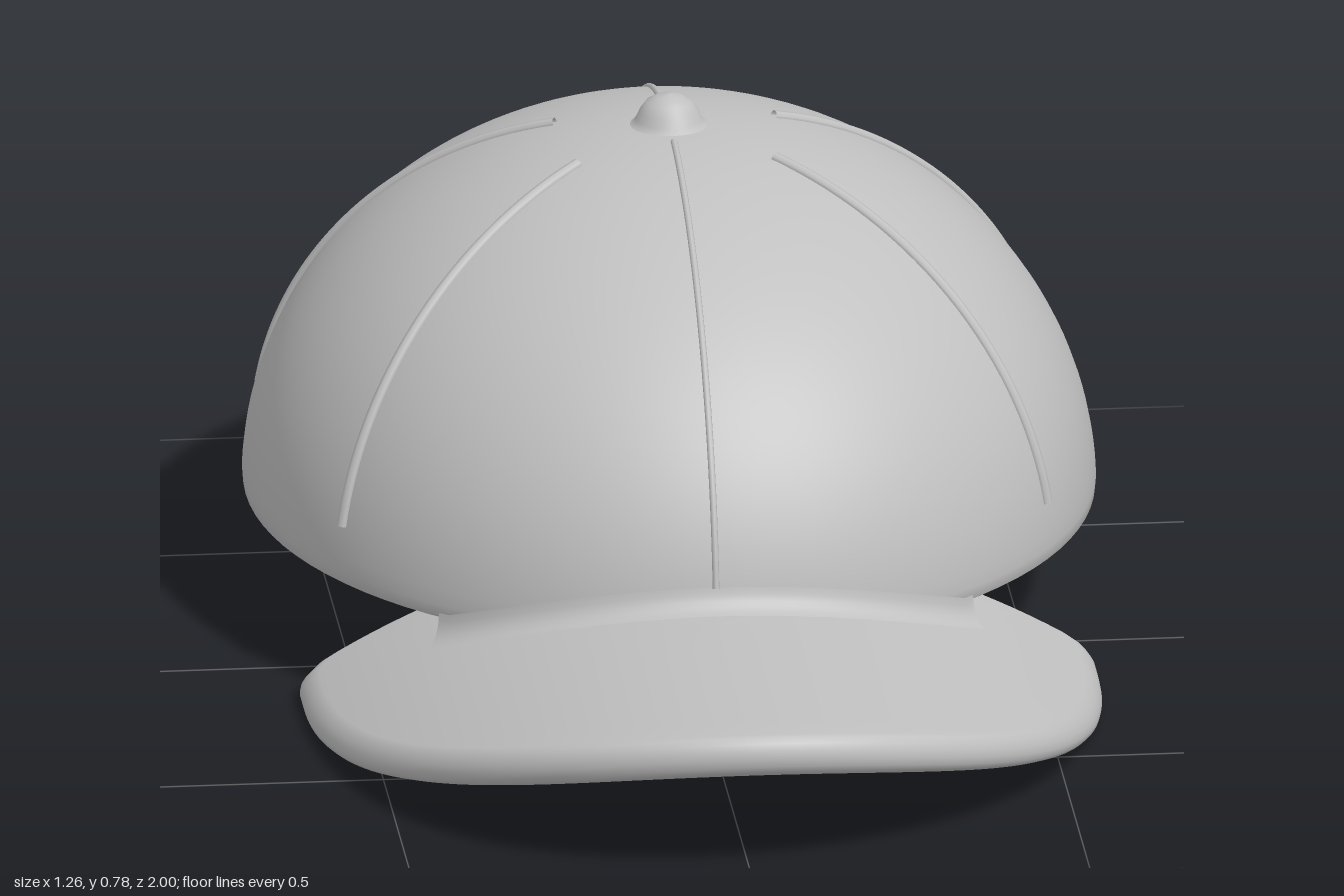
import * as THREE from 'three';

const RX = 0.63, RZ = 0.72, RY = 0.565, RIM = 0.18, CZ = -0.28;

// Point on the crown at angle a (0 = front) and height y
function crownPoint(a, y, grow = 0) {
  const h = Math.max(0, y - RIM) / RY;
  const q = Math.sqrt(Math.max(0, 1 - h * h));
  return new THREE.Vector3((RX * q + grow) * Math.sin(a), y, CZ + (RZ * q + grow) * Math.cos(a));
}

// Arched upper and lower faces of the brim
const brimTop = x => 0.235 - 0.19 * (x / 0.59) ** 2;
const brimBottom = x => 0.172 - 0.172 * (x / 0.59) ** 2;

// Surface from rows of points; closed rows wrap round
function gridGeometry(rows, closed) {
  const n = rows[0].length, index = [];
  const positions = rows.flatMap(row => row.flatMap(p => p.toArray()));
  for (let r = 0; r < rows.length - 1; r++) {
    for (let i = 0; i < (closed ? n : n - 1); i++) {
      const j = (i + 1) % n;
      const a = r * n + i, b = (r + 1) * n + i, c = (r + 1) * n + j, d = r * n + j;
      index.push(a, c, b, a, d, c);
    }
  }
  const g = new THREE.BufferGeometry();
  g.setAttribute('position', new THREE.Float32BufferAttribute(positions, 3));
  g.setIndex(index);
  g.computeVertexNormals();
  return g;
}

function brimGeometry() {
  const outline = new THREE.Path();
  outline.absellipse(0, 0.2, 0.59, 0.8, 0, Math.PI, false);
  outline.lineTo(-0.59, 0.15);
  outline.quadraticCurveTo(-0.59, 0.115, -0.555, 0.115);
  outline.lineTo(0.555, 0.115);
  outline.quadraticCurveTo(0.59, 0.115, 0.59, 0.15);
  outline.lineTo(0.59, 0.2);
  const pts = outline.getSpacedPoints(140).slice(0, -1);
  // Rings run out over the top, round the edge, and back underneath
  const rings = [];
  for (let i = 0; i <= 10; i++) rings.push([0.955 * i / 10, 0]);
  for (let i = 1; i < 8; i++) {
    const t = Math.PI * i / 8;
    rings.push([0.955 + 0.045 * Math.sin(t), (1 - Math.cos(t)) / 2]);
  }
  for (let i = 10; i >= 0; i--) rings.push([0.955 * i / 10, 1]);
  return gridGeometry(rings.map(([k, h]) => pts.map(p => {
    const x = p.x * k;
    const y = THREE.MathUtils.lerp(brimTop(x), brimBottom(x), h);
    return new THREE.Vector3(x, y, 0.5 + (p.y - 0.5) * k);
  })), true);
}

// Concave blend where the brim meets the crown
function filletGeometry() {
  const rows = [];
  for (let s = 0; s <= 6; s++) {
    const row = [];
    for (let i = 0; i <= 48; i++) {
      const a = -0.68 + 1.36 * i / 48;
      const y = brimTop(RX * Math.sin(a));
      const upper = crownPoint(a, Math.max(RIM + 0.01, y + 0.035));
      const corner = crownPoint(a, y);
      const lower = crownPoint(a, y, 0.035);
      lower.y = brimTop(lower.x) - 0.002;
      row.push(new THREE.QuadraticBezierCurve3(upper, corner, lower).getPoint(s / 6));
    }
    rows.push(row);
  }
  return gridGeometry(rows.map(r => r.reverse()), false);
}

// Raised seam running down the crown
function seamGeometry(angle, from, to, radius) {
  const pts = [];
  for (let i = 0; i <= 16; i++) {
    const e = THREE.MathUtils.degToRad(THREE.MathUtils.lerp(from, to, i / 16));
    pts.push(crownPoint(angle, RIM + RY * Math.sin(e)));
  }
  return new THREE.TubeGeometry(new THREE.CatmullRomCurve3(pts), 48, radius, 8);
}

export function createModel() {
  const group = new THREE.Group();
  const cloth = new THREE.MeshStandardMaterial({ color: 0xc0c0c0 });
  cloth.name = 'grey cloth';
  const blendCloth = cloth;
  blendCloth.side = THREE.DoubleSide;
  const add = (name, geometry) => {
    const mesh = new THREE.Mesh(geometry, cloth);
    mesh.name = name;
    group.add(mesh);
    return mesh;
  };

  // Crown: half ellipsoid with a slightly rounded rim
  const profile = [new THREE.Vector2(RX - 0.008, RIM), new THREE.Vector2(RX - 0.002, RIM + 0.004)];
  for (let i = 1; i <= 40; i++) {
    const e = Math.PI / 2 * i / 40;
    profile.push(new THREE.Vector2(Math.max(0, RX * Math.cos(e)), RIM + RY * Math.sin(e)));
  }
  const crown = new THREE.LatheGeometry(profile, 96);
  crown.scale(1, 1, RZ / RX);
  crown.translate(0, 0, CZ);
  add('crown', crown);

  // Flat underside of the crown
  const base = new THREE.CircleGeometry(RX - 0.008, 96);
  base.rotateX(Math.PI / 2);
  base.scale(1, 1, RZ / RX);
  base.translate(0, RIM, CZ);
  add('crownUnderside', base);

  add('brim', brimGeometry());
  add('brimBlend', filletGeometry());

  // Six panel seams: four strong diagonal ones, two faint ones front and back
  const deg = Math.PI / 180;
  for (const side of [1, -1]) {
    add('frontSideSeam', seamGeometry(side * 57 * deg, 9, 74, 0.009));
    add('backSideSeam', seamGeometry(side * 111 * deg, 9, 74, 0.009));
  }
  add('frontSeam', seamGeometry(0, 9, 84, 0.005));
  add('backSeam', seamGeometry(Math.PI, 9, 84, 0.005));

  // Button with a flared foot
  const button = [[0.066, 0.738], [0.055, 0.744], [0.049, 0.752], [0.044, 0.764],
    [0.034, 0.778], [0.018, 0.787], [0, 0.79]].map(p => new THREE.Vector2(...p));
  add('button', new THREE.LatheGeometry(button, 32)).position.z = CZ;

  return group;
}
